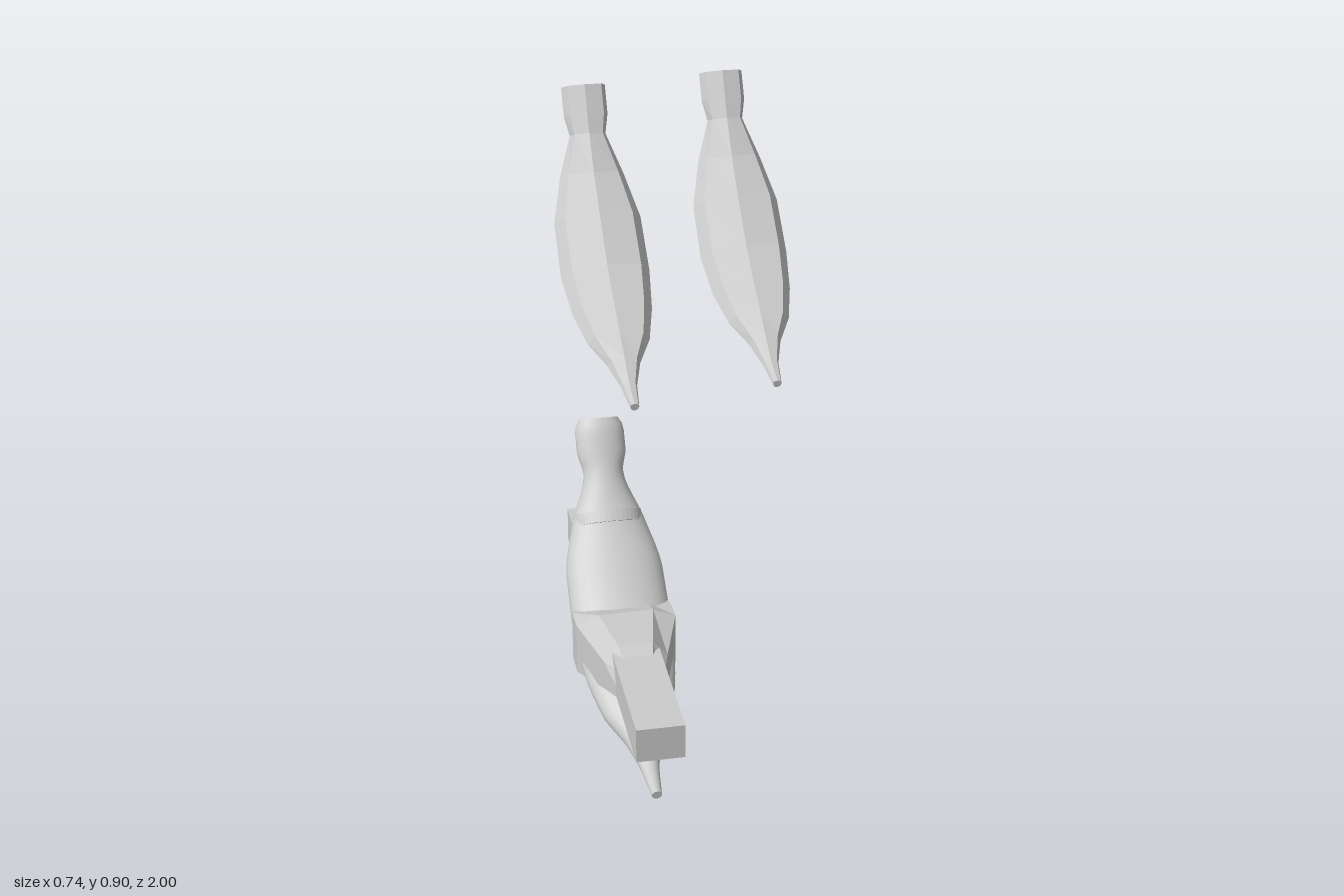
import * as THREE from 'three';

const V = (x, y, z) => new THREE.Vector3(x, y, z);

// Skin a list of rings (counter-clockwise about the direction of travel) and close both ends
function loft(rings) {
  const n = rings[0].length, pos = [], idx = [];
  const push = (p) => pos.push(p.x, p.y, p.z) / 3 - 1;
  rings.forEach((r) => r.forEach(push));
  for (let i = 0; i < rings.length - 1; i++) {
    for (let j = 0; j < n; j++) {
      const a = i * n + j, b = i * n + ((j + 1) % n);
      idx.push(a, b, a + n, b, b + n, a + n);
    }
  }
  [rings[0], rings[rings.length - 1]].forEach((r, end) => {
    const centre = r.reduce((s, p) => s.add(p), V(0, 0, 0)).divideScalar(n);
    const c = push(centre), first = r.map(push);
    for (let j = 0; j < n; j++) {
      const a = first[j], b = first[(j + 1) % n];
      if (end) idx.push(c, a, b);
      else idx.push(c, b, a);
    }
  });
  const g = new THREE.BufferGeometry();
  g.setAttribute('position', new THREE.Float32BufferAttribute(pos, 3));
  g.setIndex(idx);
  g.computeVertexNormals();
  return g;
}

function part(name, geometry, flat = true) {
  const mesh = new THREE.Mesh(geometry, new THREE.MeshStandardMaterial({ color: 0xcccccc, flatShading: flat }));
  mesh.name = name;
  return mesh;
}

// Curved pod, tip to head: z, y, half width, half thickness
const STATIONS = [
  [0.95, 0.010, 0.011, 0.010], [0.87, 0.023, 0.020, 0.016], [0.80, 0.044, 0.040, 0.029],
  [0.73, 0.070, 0.076, 0.040], [0.64, 0.106, 0.098, 0.049], [0.54, 0.160, 0.110, 0.054],
  [0.43, 0.255, 0.108, 0.052], [0.35, 0.340, 0.080, 0.045], [0.295, 0.427, 0.045, 0.034],
  [0.27, 0.470, 0.055, 0.033], [0.233, 0.532, 0.055, 0.034],
];

// Eight-sided section: ridge, panel edge, widest line and keel
const FACETED = [[1, 0.05], [0.62, -0.8], [0, -1], [-0.62, -0.8], [-1, 0.05], [-0.78, 0.75], [0, 1], [0.78, 0.75]];
const ROUND = Array.from({ length: 28 }, (_, i) => {
  const a = (i / 28) * Math.PI * 2;
  return [Math.cos(a), -Math.sin(a)];
});

function podRings(stations, section) {
  return stations.map(([z, y, w, t], i) => {
    const p = stations[Math.max(i - 1, 0)], q = stations[Math.min(i + 1, stations.length - 1)];
    const d = V(0, q[1] - p[1], q[0] - p[0]).normalize();
    return section.map(([u, v]) => V(u * w, y - d.z * v * t, z + d.y * v * t));
  });
}

// Smooth version of the pod with interpolated stations and a rounded head
function smoothStations() {
  const line = new THREE.CatmullRomCurve3(STATIONS.map((s) => V(s[0], s[1], 0)));
  const size = new THREE.CatmullRomCurve3(STATIONS.map((s) => V(s[2], s[3], 0)));
  const out = [];
  for (let i = 0; i <= 50; i++) {
    const a = line.getPoint(i / 50), b = size.getPoint(i / 50);
    const k = i === 50 ? 0.8 : i === 49 ? 0.95 : 1;
    out.push([a.x, a.y, b.x * k, b.y * k]);
  }
  return out;
}

// Strap lying over the upper face of the smooth pod
function collar() {
  const c = V(0, 0.34, 0.35), X = V(1, 0, 0), N = V(0, 0.62, 0.78), S = V(0, -0.78, 0.62);
  const rings = [];
  for (let i = 0; i <= 16; i++) {
    const a = THREE.MathUtils.degToRad(15 + (150 * i) / 16);
    rings.push([[0.013, 0.9], [0.013, 1.0], [-0.013, 1.0], [-0.013, 0.9]].map(([s, r]) =>
      c.clone().addScaledVector(X, Math.cos(a) * r * 0.077)
        .addScaledVector(N, Math.sin(a) * r * 0.054).addScaledVector(S, s)));
  }
  return loft(rings);
}

// Faceted cradle: z, half width, bottom, shoulder height, top
const CRADLE = [
  [0.20, 0.055, 0.115, 0.140, 0.142], [0.38, 0.085, 0.105, 0.180, 0.182], [0.52, 0.110, 0.095, 0.210, 0.215],
  [0.58, 0.110, 0.095, 0.215, 0.236], [0.70, 0.070, 0.125, 0.195, 0.232], [0.77, 0.045, 0.138, 0.150, 0.190],
];

export function createModel() {
  const model = new THREE.Group();

  // Two loose faceted pods
  [['rightPod', -0.118, 0.35, -1.06], ['leftPod', 0.258, 0.30, -1.20]].forEach(([name, x, y, z]) => {
    const pod = part(name, loft(podRings(STATIONS, FACETED)));
    pod.position.set(x, y, z);
    model.add(pod);
  });

  // Mounted pod with its strap, cradle and beam
  const mounted = new THREE.Group();
  mounted.name = 'mountedPod';
  mounted.position.x = -0.26;
  mounted.add(part('smoothPod', loft(podRings(smoothStations(), ROUND)), false));
  mounted.add(part('collar', collar()));
  mounted.add(part('cradle', loft(CRADLE.map(([z, w, lo, side, top]) => [
    V(w, lo, z), V(w, side, z), V(w * 0.55, top, z), V(-w * 0.55, top, z), V(-w, side, z), V(-w, lo, z),
  ]))));
  const beam = part('beam', new THREE.BoxGeometry(0.104, 0.08, 0.915));
  beam.position.set(0, 0.176, 0.5425);
  mounted.add(beam);
  model.add(mounted);

  return model;
}
